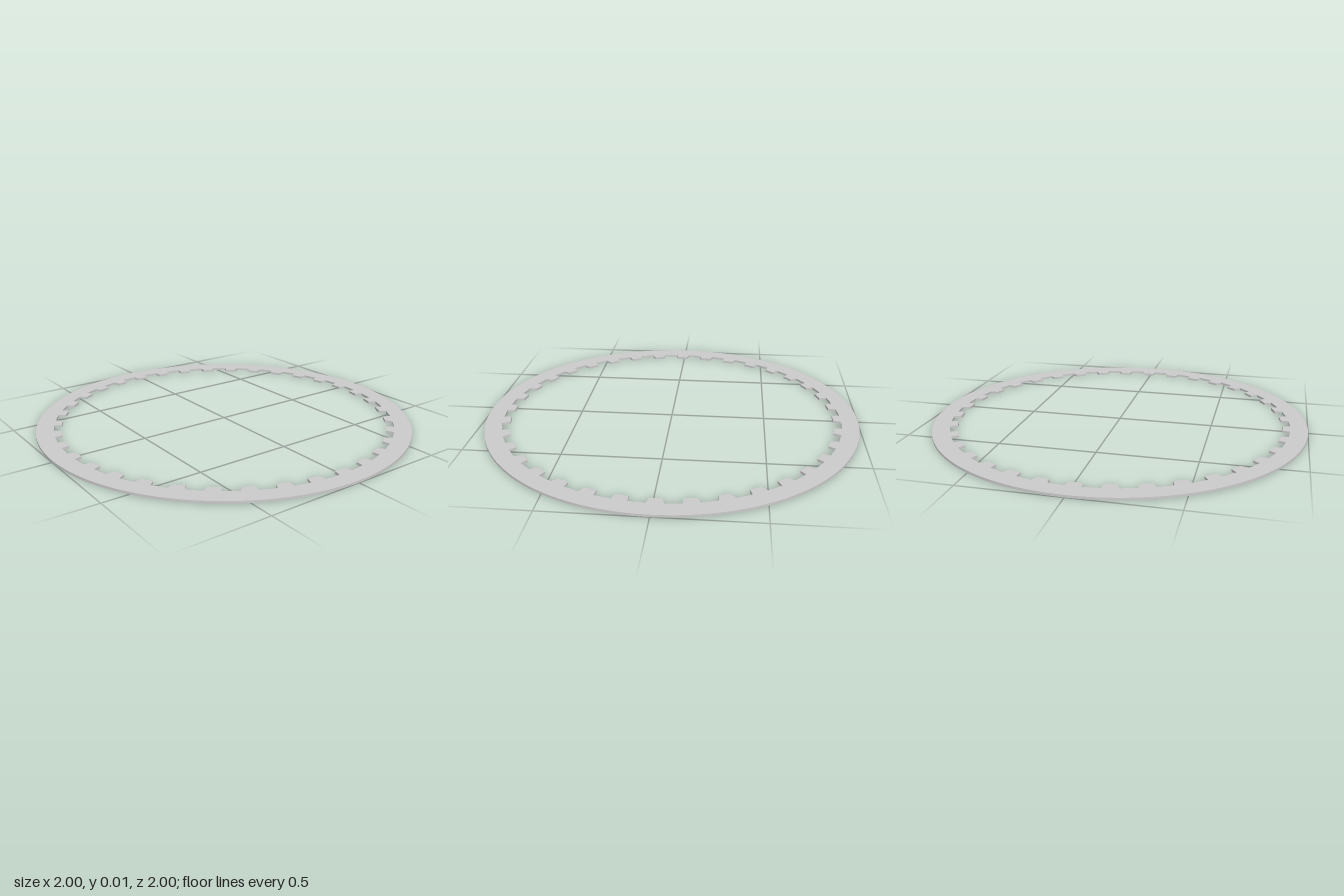
import * as THREE from 'three';
import { toCreasedNormals } from 'three/addons/utils/BufferGeometryUtils.js';

const TEETH = 36;
const OUTER = 1, ROOT = 0.91, TIP = 0.87;
const BASE_HALF = 0.0395, TIP_HALF = 0.03; // half widths of a tooth
const THICKNESS = 0.012;
const TURN = 0.013; // slight rotation of the tooth pattern

export function createModel() {
  const group = new THREE.Group();
  group.name = 'toothedRing';

  // Round outer edge
  const shape = new THREE.Shape();
  shape.absarc(0, 0, OUTER, 0, Math.PI * 2, false);

  // Toothed inner edge: trapezoid teeth pointing inwards
  const points = [];
  for (let i = 0; i < TEETH; i++) {
    const a = TURN + (i / TEETH) * Math.PI * 2;
    const add = (radius, half) => {
      const t = a + Math.asin(half / radius);
      points.push(new THREE.Vector2(Math.cos(t) * radius, Math.sin(t) * radius));
    };
    add(ROOT, -BASE_HALF);
    add(TIP, -TIP_HALF);
    add(TIP, TIP_HALF);
    add(ROOT, BASE_HALF);
  }
  shape.holes.push(new THREE.Path(points.reverse()));

  // Thin plate laid flat on the ground
  const extruded = new THREE.ExtrudeGeometry(shape, {
    depth: THICKNESS, bevelEnabled: false, curveSegments: 144,
  });
  extruded.rotateX(-Math.PI / 2);
  const ring = new THREE.Mesh(
    toCreasedNormals(extruded, 0.1),
    new THREE.MeshStandardMaterial({ color: 0xcccccc }),
  );
  ring.name = 'ringPlate';
  group.add(ring);
  return group;
}
